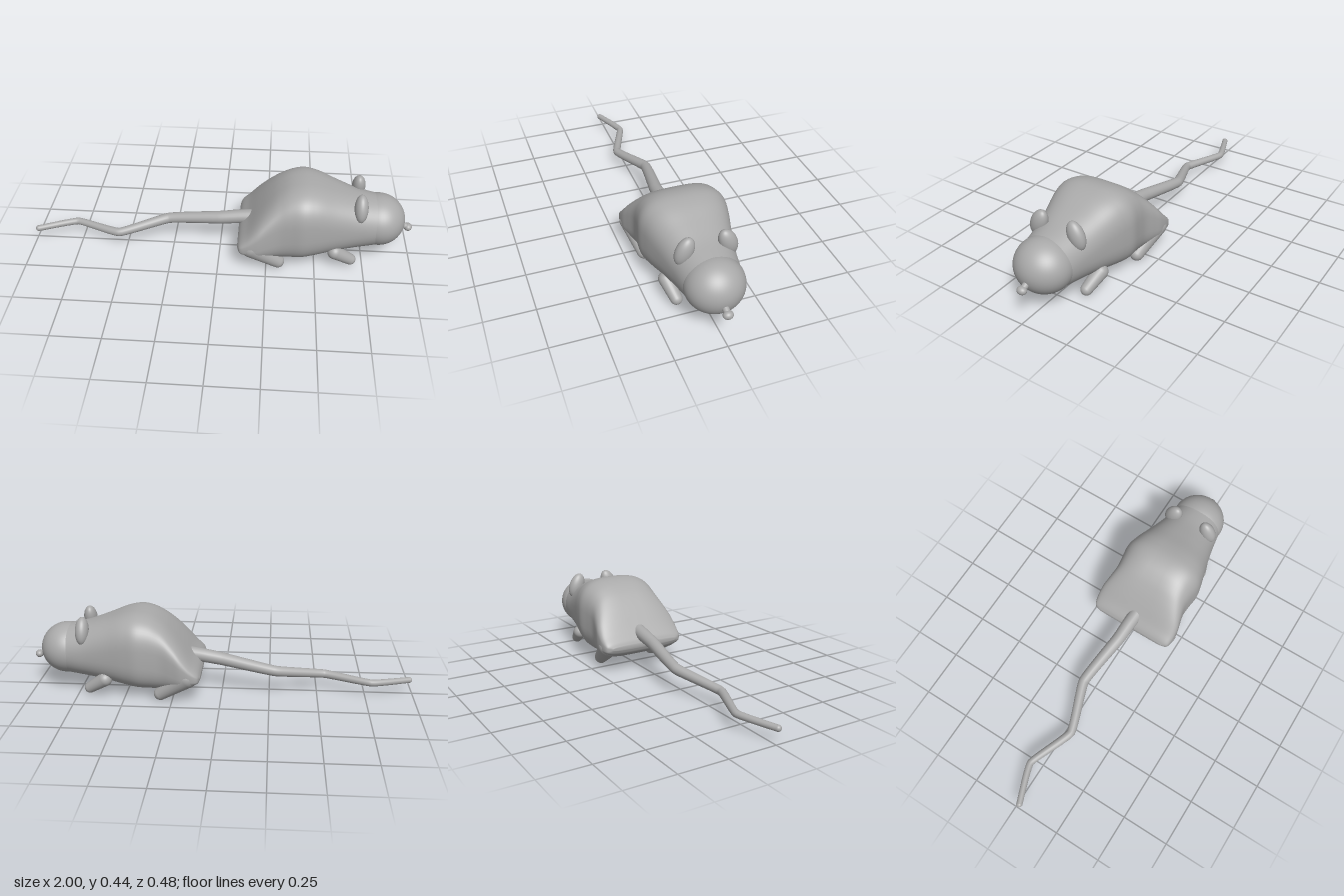
import * as THREE from 'three';

const grey = new THREE.MeshStandardMaterial({ color: 0xaaaaaa });
grey.name = 'plain grey';

function add(group, name, geometry) {
  const mesh = new THREE.Mesh(geometry, grey);
  mesh.name = name;
  group.add(mesh);
  return mesh;
}

// Rounded cross-sections lofted along x: [x, top, bottom, half width, squareness]
const SECTIONS = [
  [0.1, 0.15, 0.13, 0.19, 3.5], [0.113, 0.175, 0.105, 0.224, 3.5],
  [0.15, 0.218, 0.085, 0.236, 3.5], [0.2, 0.285, 0.06, 0.236, 3.5],
  [0.25, 0.345, 0.047, 0.224, 3.4], [0.3, 0.393, 0.04, 0.213, 3.3],
  [0.36, 0.43, 0.037, 0.216, 3.1], [0.43, 0.445, 0.04, 0.224, 3],
  [0.5, 0.435, 0.05, 0.21, 2.9], [0.6, 0.4, 0.065, 0.182, 2.6],
  [0.7, 0.368, 0.076, 0.158, 2.3], [0.78, 0.353, 0.084, 0.144, 2.1],
  [0.83, 0.345, 0.09, 0.135, 2],
];

function bodyGeometry(steps = 60, sides = 64) {
  const spline = (k) => new THREE.CatmullRomCurve3(
    SECTIONS.map((s) => new THREE.Vector3(s[0], s[k], s[k + 1])));
  const heights = spline(1), widths = spline(3);
  const pos = [], index = [];
  for (let i = 0; i <= steps; i++) {
    const { x, y: top, z: bottom } = heights.getPoint(i / steps);
    const { y: half, z: n } = widths.getPoint(i / steps);
    for (let j = 0; j < sides; j++) {
      const a = (j / sides) * Math.PI * 2, c = Math.cos(a), s = Math.sin(a);
      const p = 2 / n;
      pos.push(x,
        (top + bottom) / 2 + Math.sign(s) * Math.abs(s) ** p * (top - bottom) / 2,
        Math.sign(c) * Math.abs(c) ** p * half);
      if (i < steps) {
        const k = (j + 1) % sides, r = i * sides, q = r + sides;
        index.push(r + j, q + j, r + k, r + k, q + j, q + k);
      }
    }
  }
  // rear closing fan
  const centre = pos.length / 3;
  pos.push(0.1, 0.14, 0);
  for (let j = 0; j < sides; j++) index.push(centre, j, (j + 1) % sides);
  const g = new THREE.BufferGeometry();
  g.setAttribute('position', new THREE.Float32BufferAttribute(pos, 3));
  g.setIndex(index);
  g.computeVertexNormals();
  return g;
}

// Round-ended limb tapering from a (radius ra) to b (radius rb)
function limb(group, name, a, b, ra, rb) {
  const from = new THREE.Vector3(...a), to = new THREE.Vector3(...b);
  const len = from.distanceTo(to), pts = [];
  const tilt = Math.asin((ra - rb) / len);
  for (let i = 0; i <= 12; i++) {
    const t = -Math.PI / 2 + (i / 12) * (Math.PI / 2 + tilt);
    pts.push(new THREE.Vector2(Math.max(0, ra * Math.cos(t)), ra * Math.sin(t)));
  }
  for (let i = 0; i <= 12; i++) {
    const t = tilt + (i / 12) * (Math.PI / 2 - tilt);
    pts.push(new THREE.Vector2(Math.max(0, rb * Math.cos(t)), len + rb * Math.sin(t)));
  }
  const mesh = add(group, name, new THREE.LatheGeometry(pts, 28));
  mesh.position.copy(from);
  mesh.quaternion.setFromUnitVectors(new THREE.Vector3(0, 1, 0), to.sub(from).normalize());
  return mesh;
}

// Gently bent tail, thinning towards the tip
function tailGeometry() {
  const curve = new THREE.CatmullRomCurve3([
    [0.18, 0.2, 0], [0.1, 0.19, -0.005], [0, 0.174, -0.01], [-0.28, 0.128, -0.046],
    [-0.54, 0.082, 0.04], [-0.78, 0.076, -0.05], [-0.984, 0.068, 0.02],
  ].map((p) => new THREE.Vector3(...p)), false, 'catmullrom', 0.18);
  const rings = 90, sides = 20;
  const g = new THREE.TubeGeometry(curve, rings, 1, sides);
  const p = g.attributes.position, v = new THREE.Vector3();
  for (let i = 0; i <= rings; i++) {
    const c = curve.getPointAt(i / rings);
    const r = 0.016 + 0.022 * (1 - i / rings) ** 1.3;
    for (let j = 0; j <= sides; j++) {
      const k = i * (sides + 1) + j;
      v.fromBufferAttribute(p, k).sub(c).multiplyScalar(r).add(c);
      p.setXYZ(k, v.x, v.y, v.z);
    }
  }
  return g;
}

export function createModel() {
  const model = new THREE.Group();
  model.name = 'mouse';
  add(model, 'body', bodyGeometry());

  const ball = new THREE.SphereGeometry(1, 48, 32);
  const head = add(model, 'head', ball);
  head.position.set(0.82, 0.219, 0);
  head.scale.set(0.137, 0.133, 0.143);

  limb(model, 'nose', [0.93, 0.195, 0], [0.975, 0.175, 0], 0.016, 0.016);
  const noseTip = add(model, 'noseTip', ball);
  noseTip.position.set(0.979, 0.174, 0);
  noseTip.scale.set(0.021, 0.02, 0.025);

  add(model, 'tail', tailGeometry());
  const tip = add(model, 'tailTip', ball);
  tip.position.set(-0.984, 0.068, 0.02);
  tip.scale.setScalar(0.016);

  for (const side of [1, -1]) {
    const name = side > 0 ? 'left' : 'right';
    // ears lean in towards the crown
    const ear = add(model, name + 'Ear', ball);
    ear.position.set(0.714, 0.348, side * 0.105);
    ear.scale.set(0.035, 0.073, 0.043);
    ear.rotation.x = -side * 0.38;
    limb(model, name + 'FrontLeg', [0.6, 0.1, side * 0.147], [0.685, 0.042, side * 0.126], 0.037, 0.029);
    limb(model, name + 'HindLeg', [0.17, 0.14, side * 0.184], [0.31, 0.035, side * 0.16], 0.056, 0.035);
  }
  return model;
}
